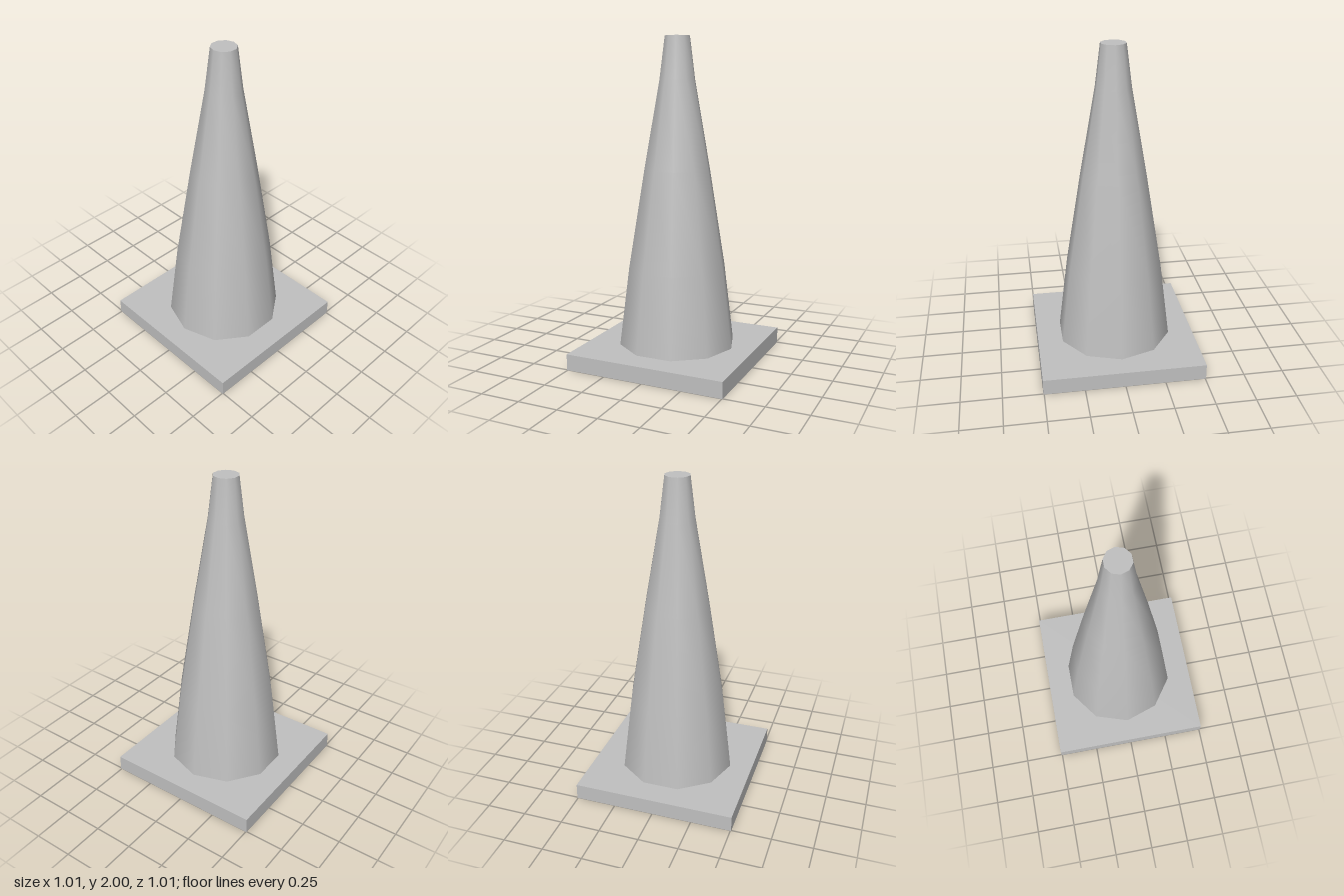
import * as THREE from 'three';

const SIDES = 10;

export function createModel() {
  const model = new THREE.Group();
  model.name = 'trafficCone';
  const grey = new THREE.MeshStandardMaterial({ color: 0xc0c0c0, side: THREE.DoubleSide });
  grey.name = 'plain grey';

  const add = (name, geometry) => {
    const mesh = new THREE.Mesh(geometry, grey);
    mesh.name = name;
    model.add(mesh);
    return mesh;
  };

  // Square foot: a shallow tray turned over, open underneath
  const foot = new THREE.BoxGeometry(1.01, 0.1, 1.01);
  const index = Array.from(foot.index.array);
  index.splice(18, 6); // drop the bottom face
  foot.setIndex(index);
  foot.clearGroups();
  add('foot', foot).position.y = 0.05;

  // Ten-sided body with a gently curved taper, smooth shaded
  const profile = [[0.365, 0.1], [0.304, 0.59], [0.205, 1.2], [0.11, 1.74], [0.077, 2]]
    .map(([r, y]) => new THREE.Vector2(r, y));
  add('coneBody', new THREE.LatheGeometry(profile, SIDES, Math.PI / 2));

  // Flat cap closing the tip
  const cap = new THREE.CircleGeometry(0.077, SIDES);
  cap.rotateX(-Math.PI / 2);
  add('tipCap', cap).position.y = 2;

  return model;
}
